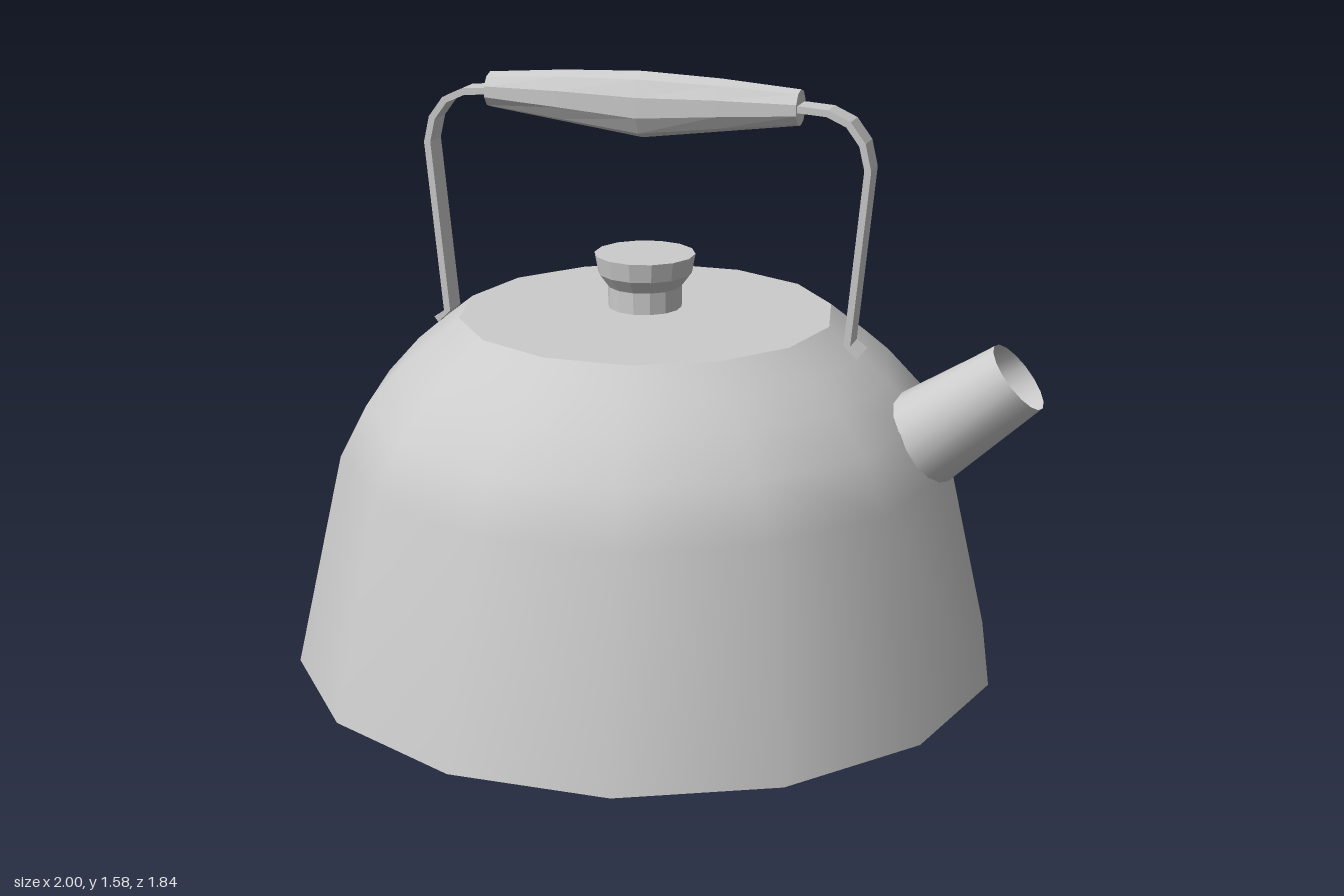
import * as THREE from 'three';

const SIDES = 14;
const CX = -0.055; // axis of the body; the spout makes the whole model off-centre

const material = (flatShading = false) =>
  new THREE.MeshStandardMaterial({ color: 0xcccccc, side: THREE.DoubleSide, flatShading });

function part(name, geometry, flat) {
  const mesh = new THREE.Mesh(geometry, material(flat));
  mesh.name = name;
  return mesh;
}

const lathe = (points, start) =>
  new THREE.LatheGeometry(points.map(([r, y]) => new THREE.Vector2(r, y)), SIDES, start);

// Skin a list of equally sized closed rings, optionally closing both ends
function loft(rings, capped) {
  const n = rings[0].length, pos = [], index = [];
  rings.forEach(ring => ring.forEach(p => pos.push(...p)));
  for (let i = 0; i < rings.length - 1; i++) {
    for (let j = 0; j < n; j++) {
      const k = (j + 1) % n;
      const a = i * n + j, b = i * n + k, c = a + n, d = b + n;
      index.push(a, b, c, b, d, c);
    }
  }
  if (capped) {
    const last = (rings.length - 1) * n;
    for (let j = 1; j < n - 1; j++) {
      index.push(0, j + 1, j, last, last + j, last + j + 1);
    }
  }
  const g = new THREE.BufferGeometry();
  g.setAttribute('position', new THREE.Float32BufferAttribute(pos, 3));
  g.setIndex(index);
  g.computeVertexNormals();
  return g;
}

const ringOf = (n, fn) => Array.from({ length: n }, (_, j) => {
  const a = (j / n) * Math.PI * 2;
  return fn(Math.cos(a), Math.sin(a));
});

// Flat metal band following a centre line, with constant thickness
function band(path, thickness, width) {
  const pts = path.map(([x, y]) => new THREE.Vector2(x, y));
  const side = s => pts.map((p, i) => {
    const a = pts[Math.max(i - 1, 0)], b = pts[Math.min(i + 1, pts.length - 1)];
    const t = b.clone().sub(a).normalize();
    return new THREE.Vector2(p.x - t.y * s, p.y + t.x * s);
  });
  const shape = new THREE.Shape([...side(thickness / 2), ...side(-thickness / 2).reverse()]);
  return new THREE.ExtrudeGeometry(shape, { depth: width, bevelEnabled: false })
    .translate(0, 0, -width / 2);
}

export function createModel() {
  const group = new THREE.Group();

  // Body: thin domed shell, open underneath
  const body = part('body', lathe([
    [0.945, 0], [0.815, 0.575], [0.745, 0.71], [0.655, 0.81], [0.585, 0.87], [0.495, 0.942],
  ], Math.PI / 2));
  body.position.x = CX;
  group.add(body);

  // Lid: flat disc closing the dome
  const lid = part('lid', new THREE.CircleGeometry(0.495, SIDES).rotateX(-Math.PI / 2));
  lid.position.set(CX, 0.942, 0);
  group.add(lid);

  // Knob sits just above the lid
  const knob = part('lidKnob', lathe([
    [0, 0.957], [0.097, 0.957], [0.098, 1.015], [0.124, 1.05], [0.133, 1.1], [0, 1.1],
  ], 0), true);
  knob.position.x = CX - 0.005;
  group.add(knob);

  // Spout: open tapered tube whose base follows the body wall
  const spoutRing = (x, y, ux, uy, rz, fit) =>
    ringOf(16, (c, s) => [x + ux * c - fit * Math.abs(s * rz), y + uy * c, s * rz]);
  group.add(part('spout', loft([
    spoutRing(0.69, 0.66, -0.067, 0.111, 0.133, 0.23),
    spoutRing(0.935, 0.853, -0.065, 0.076, 0.1, 0),
  ])));

  // Handle band, mirrored about the body axis
  const half = [
    [-0.585, 0.878], [-0.553, 0.905], [-0.597, 1.365], [-0.582, 1.43],
    [-0.545, 1.48], [-0.49, 1.505], [-0.42, 1.51],
  ];
  const mirrored = half.map(([x, y]) => [-x, y]).reverse();
  const handle = part('handleBand', band([...half, ...mirrored], 0.018, 0.072), true);
  handle.position.x = CX - 0.002;
  group.add(handle);

  // Grip: swollen in the middle, bulging further down than up
  const grip = part('handleGrip', loft([
    // x, bottom, top, half width
    [-0.42, 1.463, 1.556, 0.048], [-0.21, 1.435, 1.572, 0.058], [0, 1.407, 1.58, 0.063],
    [0.21, 1.435, 1.572, 0.058], [0.42, 1.463, 1.556, 0.048],
  ].map(([x, lo, hi, w]) =>
    ringOf(10, (c, s) => [x, (lo + hi) / 2 + c * (hi - lo) / 2, s * w])), true), true);
  grip.position.x = CX - 0.01;
  group.add(grip);

  return group;
}
